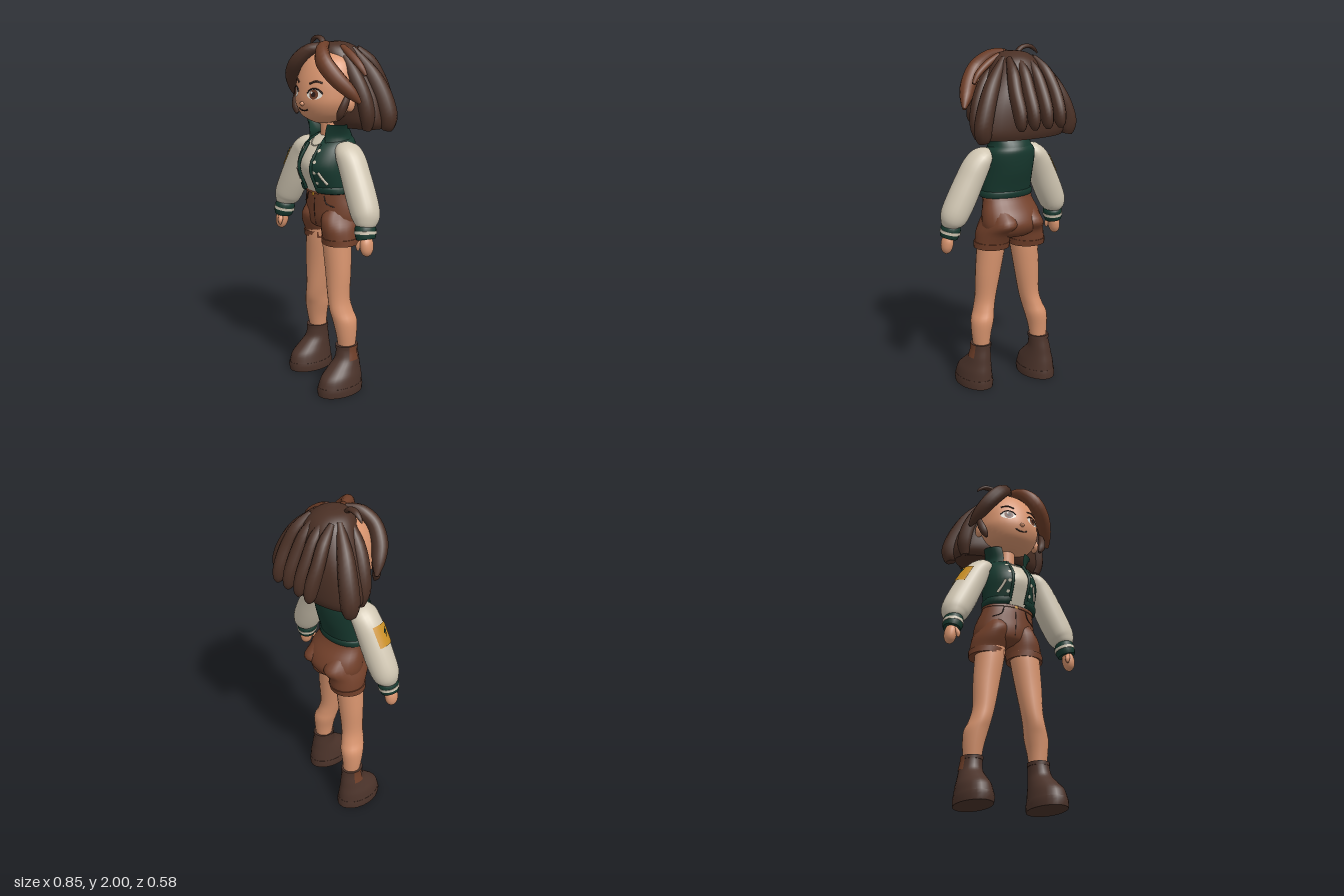
import * as THREE from 'three';

const mat = (name, color, double) => {
  const m = new THREE.MeshStandardMaterial({ color, side: double ? THREE.DoubleSide : THREE.FrontSide });
  m.name = name;
  return m;
};
const M = {
  skin: mat('skin', 0xd8946e), hair: mat('dark hair', 0x4a3025, true), lock: mat('light hair', 0x6e3e28),
  green: mat('jacket green', 0x17392f, true), cream: mat('cream cloth', 0xd0c6b2, true),
  shorts: mat('shorts brown', 0x72402a), boot: mat('boot leather', 0x4b332a),
  gold: mat('gold', 0xc98f25, true), white: mat('white', 0xf0ebe2), dark: mat('dark line', 0x2a1a16),
};
const { PI } = Math;
const V = (x, y, z) => new THREE.Vector3(x, y, z);

// Catmull-Rom through rows of numbers
function spline(rows, n = 4) {
  const out = [], at = i => rows[Math.min(rows.length - 1, Math.max(0, i))];
  for (let i = 0; i < rows.length - 1; i++) for (let k = 0; k < n; k++) {
    const t = k / n;
    out.push(rows[i].map((b, j) => {
      const a = at(i - 1)[j], c = at(i + 1)[j], d = at(i + 2)[j];
      return b + 0.5 * t * (c - a + t * (2 * a - 5 * b + 4 * c - d + t * (3 * (b - c) + d - a)));
    }));
  }
  out.push(rows[rows.length - 1]);
  return out;
}

// Skin over rows [x, y, z, ra, rb]; level sections are horizontal, others follow the path
function sweep(rows, { sides = 20, level = false, ref = V(0, 0, 1), arc = null, n = 4 } = {}) {
  const r = n > 1 ? spline(rows, n) : rows, P = r.map(q => V(q[0], q[1], q[2]));
  const pos = [], idx = [], [a0, a1] = arc || [0, 2 * PI], cols = arc ? sides + 1 : sides;
  const ring = i => {
    const T = level ? V(0, Math.sign(P[P.length - 1].y - P[0].y), 0)
      : P[Math.min(i + 1, P.length - 1)].clone().sub(P[Math.max(i - 1, 0)]).normalize();
    const u = level ? V(1, 0, 0) : ref.clone().addScaledVector(T, -T.dot(ref)).normalize();
    const v = T.clone().cross(u);
    for (let j = 0; j < cols; j++) {
      const t = a0 + (a1 - a0) * j / sides;
      pos.push(...P[i].clone().addScaledVector(u, r[i][3] * Math.cos(t)).addScaledVector(v, r[i][4] * Math.sin(t)).toArray());
    }
  };
  P.forEach((_, i) => ring(i));
  for (let i = 0; i < P.length - 1; i++) for (let j = 0; j < sides; j++) {
    const a = i * cols + j, b = i * cols + (j + 1) % cols;
    idx.push(a, b, b + cols, a, b + cols, a + cols);
  }
  if (!arc) for (const end of [0, P.length - 1]) {
    const s = pos.length / 3;
    ring(end);
    pos.push(...P[end].toArray());
    for (let j = 0; j < sides; j++) {
      const k = s + (j + 1) % sides;
      idx.push(s + sides, end ? s + j : k, end ? k : s + j);
    }
  }
  const g = new THREE.BufferGeometry();
  g.setAttribute('position', new THREE.Float32BufferAttribute(pos, 3));
  g.setIndex(idx);
  g.computeVertexNormals();
  return g;
}

// Rows [y, front z, back z, half width] to level sections
const body = (rows, x = 0, grow = 0) =>
  rows.map(([y, f, b, w]) => [x, y, (f + b) / 2, w + grow, (f - b) / 2 + grow]);
// Front depth of a level body at x, y
const frontZ = rows => {
  const s = spline(rows, 8);
  return (x, y) => {
    let i = 0;
    while (i < s.length - 2 && s[i + 1][1] < y) i++;
    const t = (y - s[i][1]) / (s[i + 1][1] - s[i][1]), q = s[i].map((a, j) => a + (s[i + 1][j] - a) * t);
    return q[2] + q[4] * Math.sqrt(Math.max(0, 1 - ((x - q[0]) / q[3]) ** 2));
  };
};

export function createModel() {
  const root = new THREE.Group();
  const add = (name, geo, material) => {
    const m = new THREE.Mesh(geo, material);
    m.name = name;
    root.add(m);
    return m;
  };
  const ball = (name, m, p, s) => {
    const b = add(name, new THREE.SphereGeometry(1, 18, 12), m);
    b.position.set(...p);
    b.scale.set(...s);
    return b;
  };
  // Thin oval laid on a surface
  const spot = (name, m, surf, x, y, w, h, lift) => {
    const g = new THREE.CircleGeometry(1, 20), p = g.attributes.position;
    for (let i = 0; i < p.count; i++) {
      const px = x + p.getX(i) * w, py = y + p.getY(i) * h;
      p.setXYZ(i, px, py, surf(px, py) + lift);
    }
    g.computeVertexNormals();
    return add(name, g, m);
  };
  // Fine line laid on a surface
  const line = (name, m, surf, pts, r) => add(name, new THREE.TubeGeometry(
    new THREE.CatmullRomCurve3(pts.map(([x, y]) => V(x, y, surf(x, y) + 0.001))), 14, r, 6), m);

  // Head and neck
  const head = body([[1.533, .15, .03, .05], [1.55, .185, -.015, .1], [1.58, .222, -.07, .145], [1.64, .246, -.1, .178],
    [1.7, .245, -.115, .185], [1.78, .226, -.11, .18], [1.86, .185, -.09, .15], [1.91, .13, -.05, .095], [1.93, .08, 0, .04]]);
  const face = frontZ(head);
  add('head', sweep(head, { level: true, sides: 32 }), M.skin);
  add('neck', sweep([[0, 1.42, .055, .055, .05], [0, 1.57, .065, .045, .045]], { level: true }), M.skin);
  ball('nose', M.skin, [0, 1.645, .247], [.014, .012, .013]);
  line('mouth', M.dark, face, [[-.038, 1.617], [-.018, 1.608], [0, 1.607], [.018, 1.608], [.038, 1.617]], .0035);
  for (const s of [-1, 1]) {
    const x = s * .08;
    spot('eyeWhite', M.white, face, x, 1.7, .042, .027, .003);
    spot('iris', M.lock, face, x, 1.7, .024, .026, .005);
    spot('pupil', M.dark, face, x, 1.7, .012, .014, .007);
    spot('eyeGlint', M.white, face, x - .009, 1.71, .005, .006, .009);
    line('upperLid', M.dark, face, [[x - .042, 1.704], [x - .022, 1.724], [x, 1.73], [x + .022, 1.724], [x + .042, 1.704]], .0045);
    line('eyebrow', M.hair, face, [[x - .035, 1.757 - s * .003], [x, 1.768], [x + .035, 1.757 + s * .003]], .005);
    ball('ear', M.skin, [s * .19, 1.645, .07], [.022, .042, .03]);
  }

  // Hair
  add('hairCap', sweep(body([[1.505, .05, -.19, .27], [1.55, .08, -.205, .29], [1.65, .095, -.205, .272], [1.75, .105, -.195, .228],
    [1.85, .12, -.165, .17], [1.92, .115, -.125, .125], [1.955, .09, -.075, .08], [1.968, .05, -.03, .03]]),
  { level: true, sides: 32 }), M.hair);
  const X = V(1, 0, 0);
  const lock = (name, rows, m = M.hair, ref) => add(name, sweep(rows, { sides: 10, ref, n: 4 }), m);
  for (const x of [-.125, -.042, .045, .13]) lock('backLock', [[x * .65, 1.93, -.07, .015, .02], [x * .85, 1.86, -.145, .033, .035],
    [x, 1.76, -.2, .037, .04], [x * 1.02, 1.66, -.24, .036, .045], [x * 1.03, 1.595, -.255, .027, .035], [x * 1.03, 1.565, -.258, .01, .015]], M.hair, X);
  for (const s of [-1, 1]) {
    lock('sideLock', [[s * .09, 1.93, -.03, .02, .02], [s * .19, 1.81, -.075, .045, .04], [s * .25, 1.7, -.105, .055, .046],
      [s * .285, 1.59, -.12, .055, .05], [s * .285, 1.53, -.12, .045, .045], [s * .28, 1.5, -.12, .03, .03]]);
    lock('templeLock', [[s * .08, 1.92, .04, .02, .02], [s * .17, 1.81, .03, .04, .035], [s * .23, 1.69, .01, .045, .04],
      [s * .25, 1.58, -.005, .045, .04], [s * .24, 1.505, -.01, .025, .025]]);
    lock('cheekLock', [[s * .215, 1.71, .1, .015, .012], [s * .21, 1.65, .125, .022, .02],
      [s * .195, 1.6, .14, .022, .022], [s * .18, 1.565, .145, .008, .008]]);
  }
  lock('rightFringe', [[0, 1.945, .085, .02, .02], [-.055, 1.925, .145, .035, .035], [-.12, 1.865, .18, .042, .045],
    [-.185, 1.785, .165, .045, .045], [-.23, 1.71, .12, .035, .035], [-.26, 1.65, .08, .01, .01]]);
  lock('leftFringe', [[.005, 1.955, .08, .02, .02], [.055, 1.935, .15, .035, .035], [.12, 1.87, .19, .045, .048],
    [.19, 1.79, .165, .048, .045], [.245, 1.715, .11, .035, .035], [.28, 1.66, .075, .01, .01]], M.lock);
  lock('looseTuft', [[-.05, 1.945, .05, .018, .015], [-.085, 1.98, .045, .02, .013], [-.135, 1.985, .04, .019, .012],
    [-.17, 1.965, .038, .013, .009], [-.187, 1.945, .036, .004, .004]]);
  lock('looseStrand', [[.08, 1.945, .03, .02, .015], [.15, 1.905, .03, .025, .02], [.22, 1.85, .025, .022, .018],
    [.255, 1.8, .015, .01, .01]], M.lock);

  // Shirt, open jacket and collar
  const torso = [[1.15, .185, -.02, .155], [1.22, .215, -.04, .16], [1.3, .24, -.065, .163], [1.38, .205, -.08, .16],
    [1.43, .16, -.08, .14], [1.465, .11, -.05, .09]];
  add('shirt', sweep(body(torso, 0, -.014), { level: true, sides: 32 }), M.cream);
  const open = g => [-PI / 2 + g, 1.5 * PI - g];
  add('jacket', sweep(body(torso), { level: true, sides: 36, arc: open(.33) }), M.green);
  add('jacketHem', sweep(body([[1.145, .18, -.02, .155], [1.15, .195, -.03, .166], [1.175, .205, -.035, .167], [1.185, .2, -.03, .158]]),
    { level: true, sides: 36, arc: open(.32), n: 1 }), M.green);
  add('collar', sweep(body([[1.42, .165, -.08, .135], [1.46, .16, -.065, .125], [1.5, .155, -.035, .135], [1.53, .15, -.01, .15]]),
    { level: true, sides: 28, arc: open(.55) }), M.green);
  const chest = frontZ(body(torso)), shirt = frontZ(body(torso, 0, -.014));
  line('necklace', M.cream, shirt, [[-.06, 1.44], [-.03, 1.415], [0, 1.408], [.03, 1.415], [.06, 1.44]], .004);
  for (const s of [-1, 1]) {
    line('jacketEdge', M.green, chest, [[s * .05, 1.16], [s * .052, 1.3], [s * .052, 1.42]], .009);
    for (const y of [1.21, 1.27, 1.33, 1.39]) spot('snap', M.cream, chest, s * .07, y, .009, .009, .004);
    line('pocketTrim', M.cream, chest, [[s * .09, 1.275], [s * .103, 1.24], [s * .12, 1.205]], .008);
  }

  // Sleeves, cuffs and hands
  for (const s of [-1, 1]) {
    const rows = [[s * .12, 1.385, .07, .05, .045], [s * .17, 1.38, .07, .08, .06], [s * .21, 1.335, .072, .084, .074],
      [s * .25, 1.26, .077, .084, .08], [s * .3, 1.16, .083, .084, .084], [s * .345, 1.07, .09, .08, .08],
      [s * .36, 1.025, .098, .066, .062], [s * .363, 1.005, .1, .05, .045]];
    add('sleeve', sweep(rows, { sides: 24 }), M.cream);
    if (s < 0) {
      const part = spline(rows).slice(9, 15).map(q => [q[0], q[1], q[2], q[3] + .005, q[4] + .005]);
      add('sleevePatch', sweep(part, { sides: 12, arc: [.65, 1.95], n: 1 }), M.gold);
      const zig = new THREE.Shape([[.012, .035], [-.018, -.006], [-.002, -.004], [-.012, -.035], [.018, .008], [.002, .005]]
        .map(p => new THREE.Vector2(...p)));
      const bolt = add('patchBolt', new THREE.ShapeGeometry(zig), M.green);
      const nrm = V(-.84, .42, .34).normalize();
      bolt.position.set(-.24, 1.285, .076).addScaledVector(nrm, .09);
      bolt.lookAt(bolt.position.clone().add(nrm));
    }
    add('cuff', sweep([[s * .357, 1.015, .1, .05, .045], [s * .36, 1.0, .103, .06, .055], [s * .367, .965, .108, .06, .055],
      [s * .373, .94, .11, .054, .048]], { n: 2 }), M.green);
    add('cuffStripe', sweep([[s * .3635, .984, .105, .063, .0585], [s * .366, .968, .107, .063, .0585]], { n: 1 }), M.cream);
    add('hand', sweep([[s * .372, .95, .11, .03, .026], [s * .38, .92, .112, .04, .033], [s * .385, .885, .114, .038, .032],
      [s * .386, .86, .114, .026, .022], [s * .386, .848, .114, .008, .008]]), M.skin);
    add('thumb', sweep([[s * .365, .935, .135, .012, .012], [s * .353, .905, .148, .014, .014], [s * .353, .88, .15, .006, .006]],
      { sides: 10 }), M.skin);
  }

  // Shorts
  const hips = body([[.925, .11, -.06, .12], [.95, .15, -.095, .17], [1.0, .165, -.115, .185], [1.06, .166, -.09, .178],
    [1.12, .165, -.04, .16], [1.17, .16, -.01, .15]]);
  add('shortsHips', sweep(hips, { level: true, sides: 28 }), M.shorts);
  const hipFront = frontZ(hips);
  add('waistband', sweep(body([[1.135, .17, -.033, .16], [1.168, .167, -.015, .154]]), { level: true, sides: 28, n: 1 }), M.shorts);
  spot('waistButton', M.gold, hipFront, 0, 1.135, .011, .011, .012);
  line('flySeam', M.dark, hipFront, [[0, 1.11], [0, 1.03], [0, .96]], .002);
  for (const s of [-1, 1]) {
    const d = s < 0 ? -.045 : 0;
    add('shortsLeg', sweep([[s * .08, 1.08, .035, .07, .09], [s * .088, 1.01, .025, .085, .148], [s * .1, .95, .055 + d / 2, .097, .125],
      [s * .107, .89, .066 + d, .1, .105], [s * .109, .855, .07 + d, .1, .1]], { level: true }), M.shorts);
    add('shortsTurnUp', sweep([[s * .109, .855, .07 + d, .105, .103], [s * .108, .89, .067 + d, .104, .11]], { level: true, n: 1 }), M.shorts);
    line('pocketSeam', M.dark, hipFront, [[s * .07, 1.13], [s * .085, 1.09], [s * .13, 1.07]], .003);
  }

  // Legs and boots, the left one a step ahead
  for (const s of [-1, 1]) {
    const step = y => s < 0 ? -.095 + y * .064 : 0;
    const limb = rows => rows.map(([y, x, f, b, w]) => [s * x, y, (f + b) / 2 + step(y), w, (f - b) / 2]);
    add('leg', sweep(limb([[.25, .18, .13, .03, .048], [.33, .179, .143, .02, .057], [.41, .169, .157, .012, .066], [.47, .152, .168, .025, .06],
      [.55, .135, .168, .035, .061], [.7, .12, .166, .02, .076], [.86, .102, .168, .005, .085], [.95, .098, .16, .01, .085]]),
    { level: true }), M.skin);
    const boot = [[.05, .195, .285, -.002, .094], [.1, .195, .265, 0, .086], [.145, .192, .215, .006, .074], [.19, .189, .165, .01, .063],
      [.235, .185, .15, .016, .057], [.27, .183, .147, .018, .056]];
    add('boot', sweep(limb(boot), { level: true, sides: 24 }), M.boot);
    add('bootSole', sweep(limb([[0, .195, .288, -.004, .096], [.03, .195, .292, -.006, .099], [.052, .195, .286, -.003, .095]]),
      { level: true, sides: 24, n: 1 }), M.boot);
    const mid = s > 0 ? 0 : PI;
    add('bootGusset', sweep(limb(boot.slice(3).map(([y, x, f, b, w]) => [y, x, f + .004, b - .004, w + .004])),
      { level: true, sides: 6, arc: [mid - .4, mid + .4] }), M.lock);
    add('bootRim', sweep(limb([[.25, .184, .151, .013, .06], [.27, .183, .151, .014, .06]]), { level: true, n: 1 }), M.boot);
  }
  return root;
}
